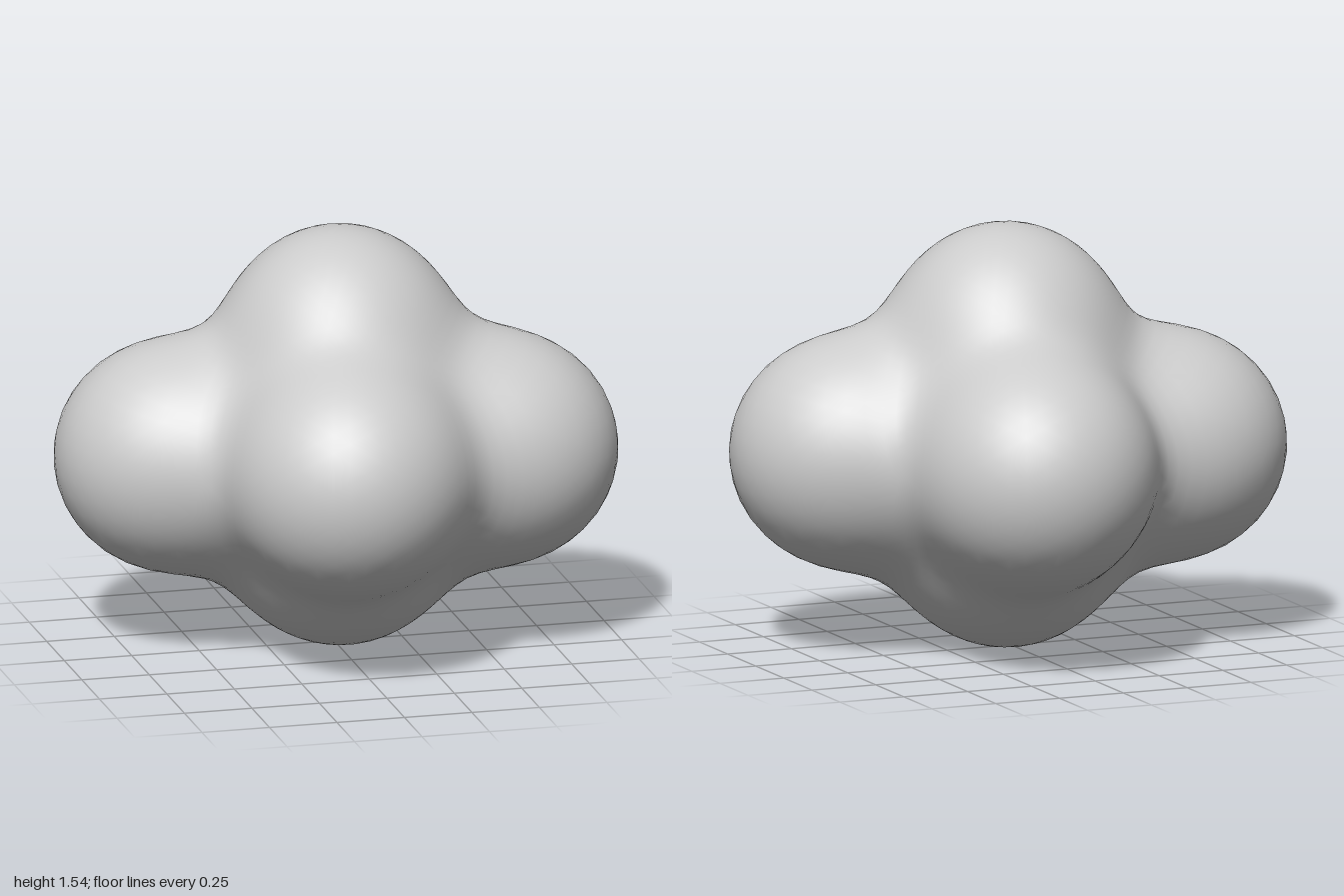
import * as THREE from 'three';
import { mergeVertices } from 'three/addons/utils/BufferGeometryUtils.js';

// Six equal round lobes around a shared middle
const RADIUS = 0.41;
const BLEND = 0.11;
const MIDDLE = new THREE.Vector3(0.01, 0.74, 0);
const LOBES = [
  [0.02, 1.13, 0.0], // top
  [0.02, 0.414, 0.0], // bottom
  [-0.59, 0.71, -0.1], // right
  [0.59, 0.725, 0.15], // left
  [-0.07, 0.75, 0.5], // front
  [0.12, 0.72, -0.51], // back
].map((p) => new THREE.Vector3(...p));

// Distance to the softly blended union of the lobes
function distance(p) {
  let sum = 0;
  for (const c of LOBES) sum += Math.exp((RADIUS - p.distanceTo(c)) / BLEND);
  return -BLEND * Math.log(sum);
}

export function createModel() {
  const group = new THREE.Group();
  group.name = 'lobedBlob';

  // Shared vertices give smooth normals
  let geometry = new THREE.IcosahedronGeometry(1, 15);
  geometry.deleteAttribute('uv');
  geometry.deleteAttribute('normal');
  geometry = mergeVertices(geometry, 1e-4);

  // Draw every sphere vertex inwards until it meets the lobes
  const position = geometry.attributes.position;
  const dir = new THREE.Vector3();
  const p = new THREE.Vector3();
  for (let i = 0; i < position.count; i++) {
    dir.fromBufferAttribute(position, i).normalize();
    let t = 1.4;
    for (let step = 0; step < 100; step++) {
      const d = distance(p.copy(MIDDLE).addScaledVector(dir, t));
      t -= d;
      if (d < 1e-4) break;
    }
    p.copy(MIDDLE).addScaledVector(dir, t);
    position.setXYZ(i, p.x, p.y, p.z);
  }
  geometry.computeVertexNormals();

  const body = new THREE.Mesh(geometry, new THREE.MeshStandardMaterial({ color: 0xcccccc }));
  body.name = 'body';
  group.add(body);
  return group;
}
